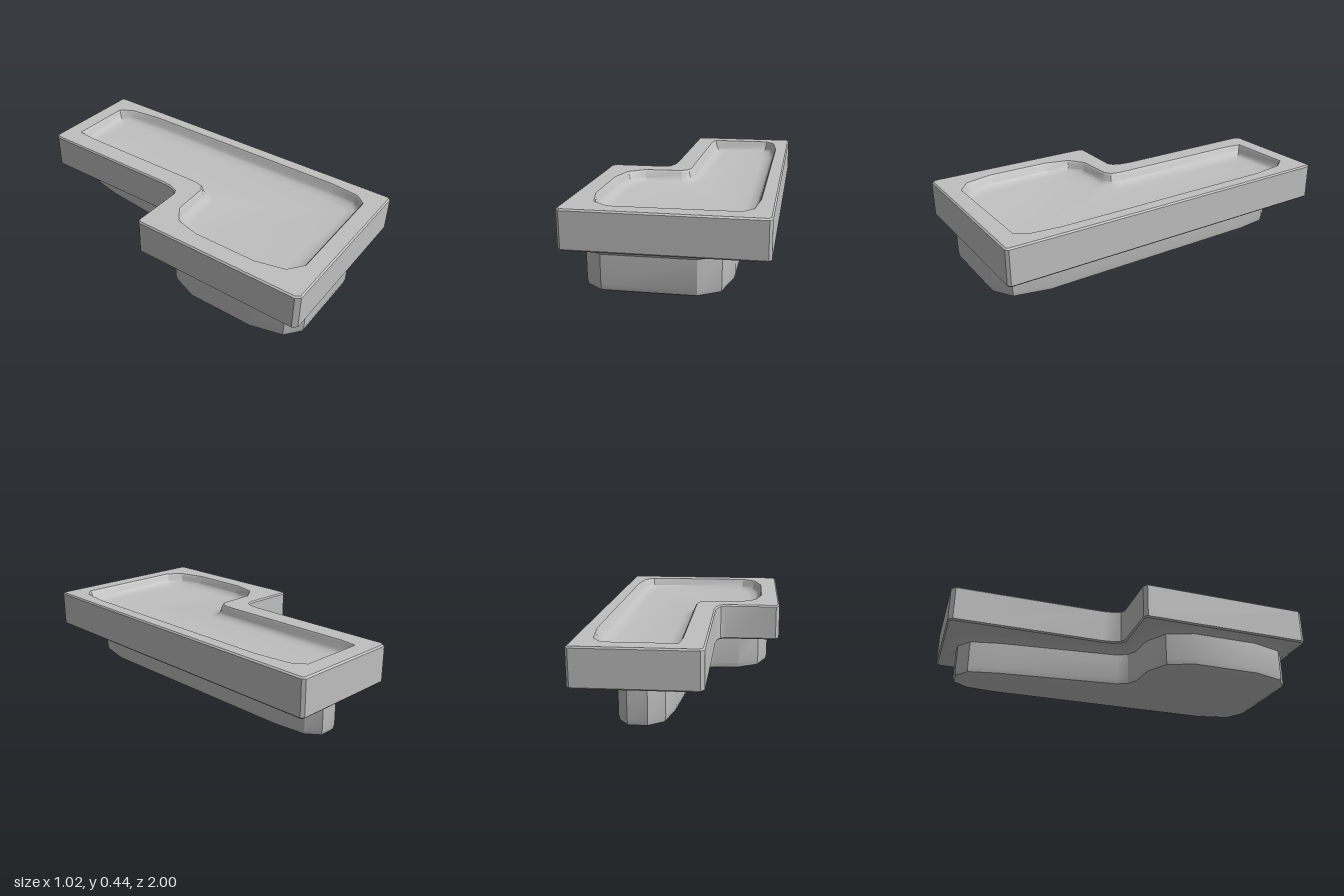
import * as THREE from 'three';
import { toCreasedNormals } from 'three/addons/utils/BufferGeometryUtils.js';

// Outlines are [x, z] corners, running clockwise as seen from above.
const SLAB = [
  [-0.12, -1], [0.495, -1], [0.51, -0.985], [0.51, 0.985], [0.495, 1], [-0.49, 1], [-0.51, 0.975],
  [-0.51, 0.02], [-0.49, 0], [-0.19, 0], [-0.165, -0.015], [-0.147, -0.06], [-0.14, -0.12], [-0.14, -0.975],
];
const RECESS = [
  [-0.01, -0.9], [0.36, -0.9], [0.41, -0.83], [0.435, -0.63], [0.435, 0.67], [0.415, 0.84], [0.365, 0.9],
  [-0.28, 0.905], [-0.365, 0.84], [-0.405, 0.68], [-0.405, 0.32], [-0.37, 0.18], [-0.28, 0.115],
  [-0.07, 0.105], [-0.035, 0.08], [-0.022, 0.03], [-0.022, -0.8],
];
const BASE = [
  [0.14, -0.91], [0.24, -0.91], [0.295, -0.84], [0.315, -0.66], [0.315, 0.68], [0.27, 0.88], [0.16, 0.95],
  [-0.31, 0.95], [-0.4, 0.88], [-0.447, 0.7], [-0.447, 0.32], [-0.39, 0.17], [-0.27, 0.1],
  [-0.12, 0.09], [-0.07, 0.06], [-0.04, 0], [0.025, -0.68], [0.06, -0.85],
];

// Moves every edge of an outline inward by d
function inset(points, d) {
  const n = points.length;
  const normal = (a, b) => new THREE.Vector2(b[1] - a[1], a[0] - b[0]).normalize();
  return points.map((p, i) => {
    const n1 = normal(points[(i + n - 1) % n], p);
    const n2 = normal(p, points[(i + 1) % n]);
    const k = d / (1 + n1.dot(n2));
    return [p[0] - (n1.x + n2.x) * k, p[1] - (n1.y + n2.y) * k];
  });
}

// Flat triangles filling an outline at height y, with optional hole
function fill(out, y, points, up, hole = []) {
  const vec = (list) => list.map((p) => new THREE.Vector2(p[0], p[1]));
  const all = [...points, ...hole];
  const holes = hole.length ? [vec(hole)] : [];
  for (const face of THREE.ShapeUtils.triangulateShape(vec(points), holes)) {
    const [a, b, c] = face.map((i) => all[i]);
    const area = (b[0] - a[0]) * (c[1] - a[1]) - (b[1] - a[1]) * (c[0] - a[0]);
    const order = (area < 0) === up ? [a, b, c] : [a, c, b];
    for (const p of order) out.push(p[0], y, p[1]);
  }
}

// Walls joining successive [height, inset] layers of one outline
function walls(out, outline, layers) {
  const rings = layers.map(([y, d]) => inset(outline, d).map((p) => [p[0], y, p[1]]));
  for (let r = 0; r + 1 < rings.length; r++) {
    for (let i = 0; i < outline.length; i++) {
      const j = (i + 1) % outline.length;
      const a = rings[r][i], b = rings[r][j], c = rings[r + 1][i], d = rings[r + 1][j];
      out.push(...a, ...c, ...b, ...b, ...c, ...d);
    }
  }
}

function makeMesh(name, out, material, crease) {
  const geometry = new THREE.BufferGeometry();
  geometry.setAttribute('position', new THREE.Float32BufferAttribute(out, 3));
  const mesh = new THREE.Mesh(toCreasedNormals(geometry, crease), material);
  mesh.name = name;
  return mesh;
}

export function createModel() {
  const group = new THREE.Group();
  group.name = 'steppedTray';
  const grey = new THREE.MeshStandardMaterial({ color: 0xc0c0c0 });
  grey.name = 'light grey';

  // L-shaped slab with softened edges and an open top
  const slab = [];
  fill(slab, 0.228, inset(SLAB, 0.008), false);
  walls(slab, SLAB, [[0.228, 0.008], [0.236, 0], [0.427, 0], [0.435, 0.008]]);
  fill(slab, 0.435, inset(SLAB, 0.008), true, RECESS);
  group.add(makeMesh('traySlab', slab, grey, 0.6));

  // Shallow dished recess
  const recess = [];
  walls(recess, RECESS, [[0.435, 0], [0.425, 0.008], [0.39, 0.018], [0.375, 0.035], [0.367, 0.075]]);
  fill(recess, 0.367, inset(RECESS, 0.075), true);
  group.add(makeMesh('trayRecess', recess, grey, 0.6));

  // Narrower foot, flared where it meets the slab and rounded underneath
  const base = [];
  fill(base, 0, inset(BASE, 0.07), false);
  walls(base, BASE, [[0, 0.07], [0.007, 0.035], [0.022, 0.006], [0.05, 0], [0.205, 0], [0.22, -0.018], [0.23, -0.05]]);
  group.add(makeMesh('trayBase', base, grey, 0.5));

  return group;
}
